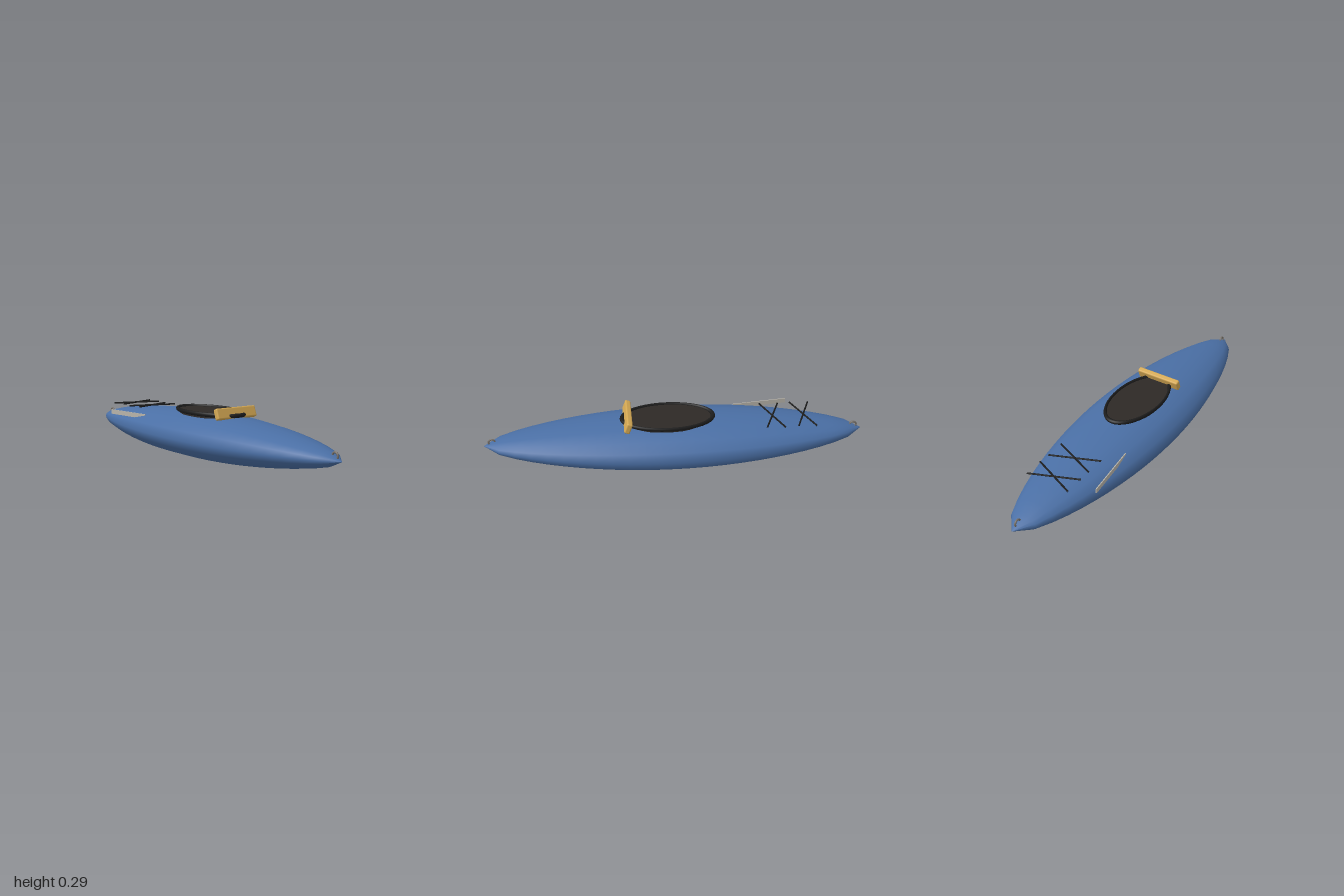
import * as THREE from 'three';
import { RoundedBoxGeometry } from 'three/addons/geometries/RoundedBoxGeometry.js';

const mat = (color, side = THREE.FrontSide) => new THREE.MeshStandardMaterial({ color, side });
const blue = mat(0x4a6fa5), black = mat(0x1c1c1c), dark = mat(0x2d2926), tan = mat(0xd4a853);
const steel = mat(0x77716a), pale = mat(0xb8b4aa);

function part(name, geometry, material, x = 0, y = 0, z = 0) {
  const mesh = new THREE.Mesh(geometry, material);
  mesh.name = name;
  mesh.position.set(x, y, z);
  return mesh;
}

// Sixteen-sided elliptical sections, swelling from pointed ends
function hullGeometry() {
  const segments = 24, sides = 16;
  const profile = [];
  for (let i = 0; i <= segments; i++) {
    const t = i / segments;
    const r = i === 0 || i === segments ? 0.001 : Math.pow(Math.sin(Math.PI * t), 0.6);
    profile.push(new THREE.Vector2(r, t * 2 - 1));
  }
  const g = new THREE.LatheGeometry(profile, sides);
  g.rotateZ(-Math.PI / 2);
  g.scale(1, 0.122, 0.25);
  g.computeVertexNormals();
  // Share normals along the lathe seam
  const n = g.attributes.normal, row = segments + 1, v = new THREE.Vector3(), w = new THREE.Vector3();
  for (let i = 0; i < row; i++) {
    const j = sides * row + i;
    v.fromBufferAttribute(n, i).add(w.fromBufferAttribute(n, j)).normalize();
    n.setXYZ(i, v.x, v.y, v.z);
    n.setXYZ(j, v.x, v.y, v.z);
  }
  return g;
}

// Thin cord between two points
function cord(a, b) {
  const path = new THREE.LineCurve3(a, b);
  return part('deckCord', new THREE.TubeGeometry(path, 1, 0.0045, 6), black);
}

export function createModel() {
  const kayak = new THREE.Group();
  kayak.name = 'kayak';
  kayak.add(part('hull', hullGeometry(), blue, 0, 0.125, 0));

  // Cockpit: raised rim around a dark floor
  const rim = part('cockpitRim', new THREE.TorusGeometry(1, 0.05, 8, 40).rotateX(Math.PI / 2), black, 0.04, 0.251, 0);
  rim.scale.set(0.238, 0.22, 0.127);
  kayak.add(rim);
  const floor = part('cockpitFloor', new THREE.CylinderGeometry(1, 1, 0.02, 40), dark, 0.04, 0.241, 0);
  floor.scale.set(0.232, 1, 0.122);
  kayak.add(floor);

  // Leaning seat back
  const back = part('seatBack', new RoundedBoxGeometry(0.03, 0.058, 0.248, 3, 0.008), tan, 0.249, 0.262, 0);
  back.rotation.z = 0.36;
  kayak.add(back);

  // Two crossed pairs of deck cords
  for (const x of [-0.68, -0.515]) {
    for (const s of [-1, 1]) {
      kayak.add(cord(
        new THREE.Vector3(x - 0.05, 0.225, -0.122 * s),
        new THREE.Vector3(x + 0.05, 0.228, 0.122 * s)));
    }
  }

  // Thin plate beside the front deck
  const plate = part('sidePlate', new THREE.BoxGeometry(0.302, 0.025, 0.005), pale, -0.475, 0.1925, 0.186);
  plate.rotation.y = 0.117;
  kayak.add(plate);

  // Carry loops at both ends
  for (const s of [-1, 1]) {
    kayak.add(part('carryLoop', new THREE.TorusGeometry(0.017, 0.005, 8, 20), steel, 0.957 * s, 0.146, 0));
  }
  return kayak;
}
